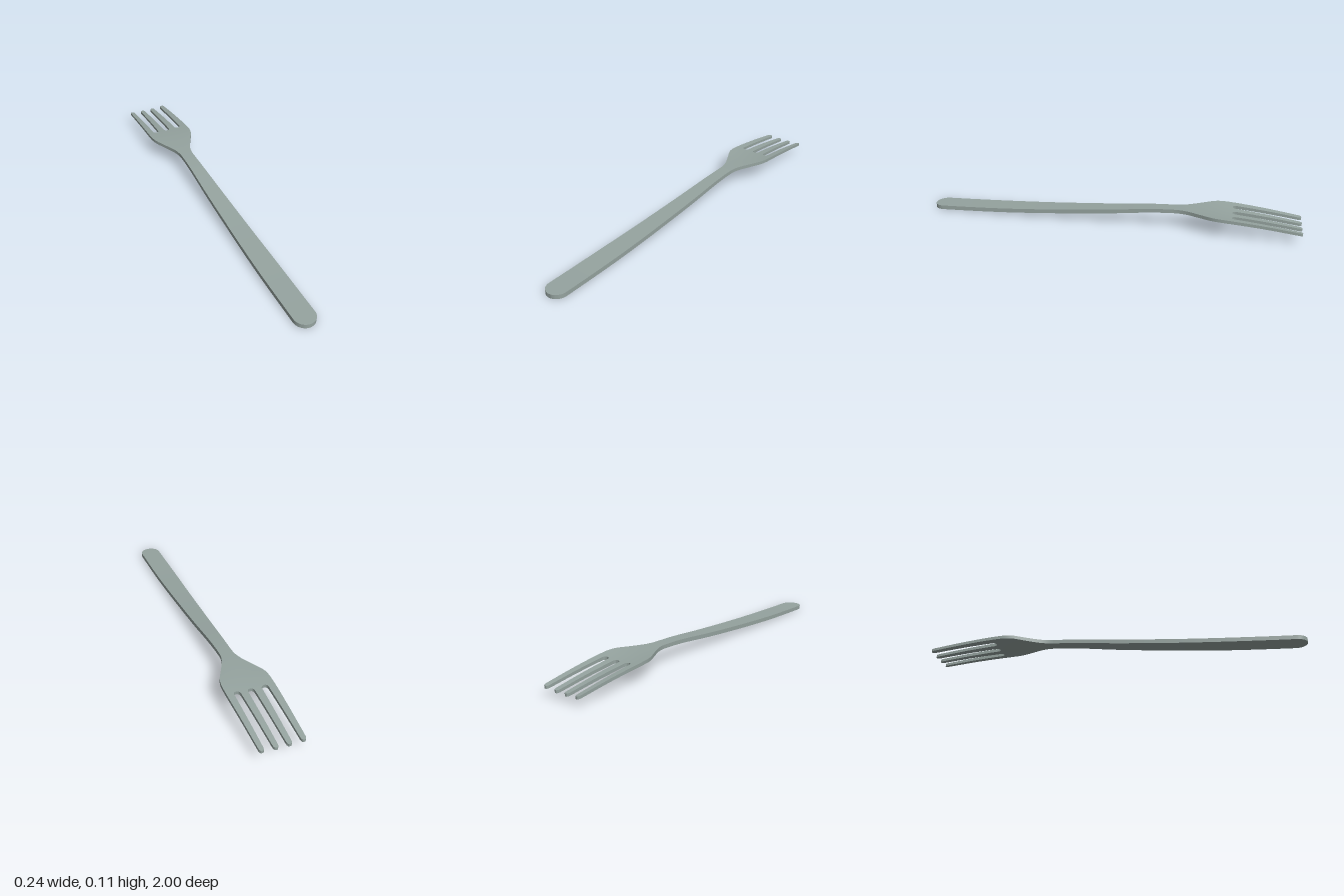
import * as THREE from 'three';
import { toCreasedNormals } from 'three/addons/utils/BufferGeometryUtils.js';

// Smooth interpolation through [z, value] knots, sorted by rising z
function spline(knots) {
  const slope = (i) => {
    const a = knots[Math.max(i - 1, 0)], b = knots[Math.min(i + 1, knots.length - 1)];
    return (b[1] - a[1]) / (b[0] - a[0]);
  };
  return (z) => {
    let i = 0;
    while (i < knots.length - 2 && z > knots[i + 1][0]) i++;
    const [z0, v0] = knots[i], [z1, v1] = knots[i + 1], h = z1 - z0;
    const t = THREE.MathUtils.clamp((z - z0) / h, 0, 1), t2 = t * t, t3 = t2 * t;
    return v0 * (2 * t3 - 3 * t2 + 1) + v1 * (3 * t2 - 2 * t3)
      + h * (slope(i) * (t3 - 2 * t2 + t) + slope(i + 1) * (t3 - t2));
  };
}

// Height of the upper face along the fork
const topY = spline([[-1, 0.058], [-0.8, 0.084], [-0.6, 0.102], [-0.45, 0.106], [-0.3, 0.102],
  [-0.2, 0.096], [0, 0.077], [0.2, 0.061], [0.4, 0.047], [0.6, 0.036], [0.8, 0.028], [1, 0.022]]);
const thickness = spline([[-1, 0.014], [-0.6, 0.017], [-0.35, 0.02], [0, 0.022], [1, 0.022]]);
// Half width of the outline
const outline = spline([[-1, 0.111], [-0.8, 0.117], [-0.645, 0.121], [-0.58, 0.119], [-0.54, 0.109],
  [-0.48, 0.079], [-0.42, 0.05], [-0.38, 0.038], [-0.34, 0.034], [-0.2, 0.036], [0, 0.042],
  [0.3, 0.049], [0.6, 0.055], [0.9, 0.056], [1, 0.056]]);

const SLOT_END = -0.645, NECK = -0.34, END_R = 0.056, SLOT_X = 0.0695;
// Gentle dish across the head, fading out at the neck
const dish = (x, z) => 0.45 * x * x * THREE.MathUtils.smoothstep(-z, 0.34, 0.58);

// Slab lofted along zs (falling z); columns(z) gives the x positions across
function slab(zs, columns) {
  const pos = [];
  const point = (x, z, low) => [x, topY(z) + dish(x, z) - (low ? thickness(z) : 0), z];
  const quad = (a, b, c, d) => pos.push(...a, ...b, ...c, ...a, ...c, ...d);
  const rows = zs.map((z) => {
    const xs = columns(z);
    return [0, 1].map((low) => xs.map((x) => point(x, z, low)));
  });
  const n = rows[0][0].length - 1;
  for (let i = 0; i < rows.length - 1; i++) {
    const [t0, b0] = rows[i], [t1, b1] = rows[i + 1];
    for (let j = 0; j < n; j++) {
      quad(t0[j], t0[j + 1], t1[j + 1], t1[j]);
      quad(b0[j], b1[j], b1[j + 1], b0[j + 1]);
    }
    quad(t0[0], t1[0], b1[0], b0[0]);
    quad(t0[n], b0[n], b1[n], t1[n]);
  }
  // End faces
  const [tf, bf] = rows[0], [tb, bb] = rows[rows.length - 1];
  for (let j = 0; j < n; j++) {
    quad(tf[j], bf[j], bf[j + 1], tf[j + 1]);
    quad(tb[j], tb[j + 1], bb[j + 1], bb[j]);
  }
  const geo = new THREE.BufferGeometry();
  geo.setAttribute('position', new THREE.Float32BufferAttribute(pos, 3));
  return toCreasedNormals(geo, 0.7);
}

const range = (a, b, n) => Array.from({ length: n + 1 }, (_, i) => a + (b - a) * i / n);
// Steps that crowd together toward the end of a round
const arc = (n) => range(0, Math.PI / 2, n).map(Math.sin);

export function createModel() {
  const group = new THREE.Group();
  const steel = new THREE.MeshStandardMaterial({ color: 0x95a39f });
  steel.name = 'steel';
  const add = (name, geo) => {
    const mesh = new THREE.Mesh(geo, steel);
    mesh.name = name;
    group.add(mesh);
  };

  // Handle with a rounded end
  const endZ = 1 - END_R;
  const handleZ = [...arc(10).reverse().map((s) => endZ + END_R * s), ...range(endZ, NECK, 44).slice(1)];
  add('handle', slab(handleZ, (z) => {
    const k = Math.max(0, (z - endZ) / END_R);
    const w = Math.max(0.003, outline(z) * Math.sqrt(Math.max(0, 1 - k * k)));
    return range(-w, w, 4);
  }));

  // Flared, dished head; its columns meet the tines
  const f = SLOT_X / outline(SLOT_END);
  const fractions = [-1, -(1 + f) / 2, -f, -f / 2, 0, f / 2, f, (1 + f) / 2, 1];
  add('head', slab(range(NECK, SLOT_END, 28), (z) => fractions.map((u) => u * outline(z))));

  // Four tines between round-bottomed slots, with rounded tips
  const slotR = 0.0165, tipL = 0.018;
  const tineZ = [...range(0, Math.PI / 2, 6).map((a) => SLOT_END - slotR * (1 - Math.cos(a))),
    ...range(SLOT_END - slotR, -1 + tipL, 12).slice(1),
    ...arc(6).slice(1).map((s) => -1 + tipL - tipL * s)];
  const slotHalf = (z) => {
    const d = SLOT_END - z;
    return d < slotR ? Math.sqrt(Math.max(0, slotR * slotR - (slotR - d) ** 2))
      : slotR + 0.003 * (d - slotR) / 0.34;
  };
  const tine = (outer, side) => (z) => {
    let l = outer ? SLOT_X + slotHalf(z) - 0.006 * (SLOT_END - z) : slotHalf(z);
    let r = outer ? outline(z) : SLOT_X - slotHalf(z) - 0.016 * (SLOT_END - z);
    const k = Math.max(0, (-1 + tipL - z) / tipL);
    const half = (r - l) / 2 * (0.3 + 0.7 * Math.sqrt(Math.max(0, 1 - k * k)));
    const mid = (l + r) / 2;
    l = mid - half;
    r = mid + half;
    return side > 0 ? [l, mid, r] : [-r, -mid, -l];
  };
  for (const side of [-1, 1]) {
    const label = side > 0 ? 'left' : 'right';
    add(label + 'InnerTine', slab(tineZ, tine(false, side)));
    add(label + 'OuterTine', slab(tineZ, tine(true, side)));
  }
  return group;
}
